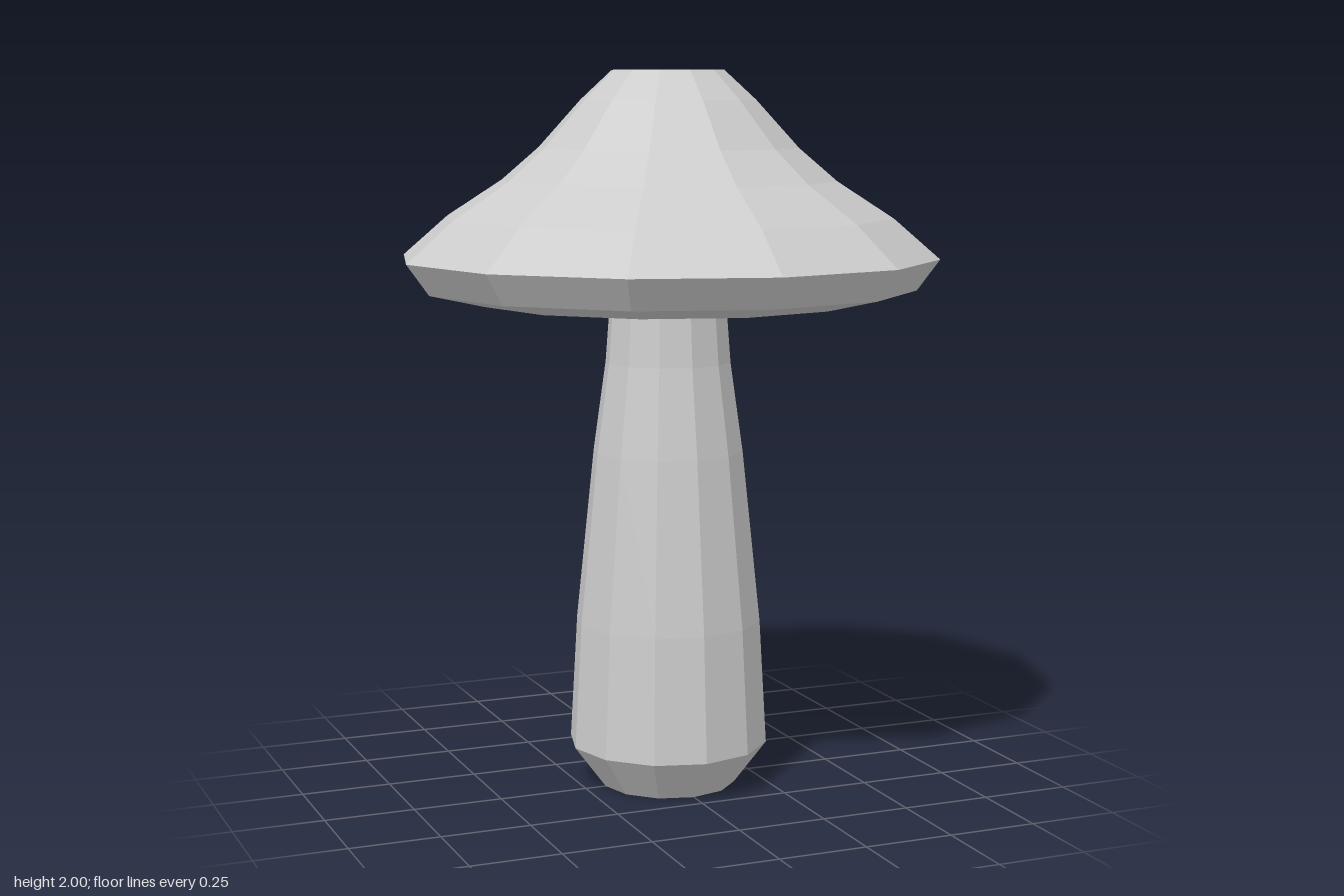
import * as THREE from 'three';

const SIDES = 12;
const material = new THREE.MeshStandardMaterial({ color: 0xcccccc, flatShading: true });

// Faceted solid of revolution from [radius, height] pairs, listed bottom to top along the outside
function facetedLathe(name, profile) {
  const points = profile.map(([r, y]) => new THREE.Vector2(r, y));
  const geometry = new THREE.LatheGeometry(points, SIDES).toNonIndexed();
  geometry.computeVertexNormals();
  const mesh = new THREE.Mesh(geometry, material);
  mesh.name = name;
  return mesh;
}

export function createModel() {
  const mushroom = new THREE.Group();
  mushroom.name = 'mushroom';

  // Stem: closed foot, bevelled base, gentle taper up into the cap
  mushroom.add(facetedLathe('stem', [
    [0, 0], [0.19, 0], [0.28, 0.12], [0.26, 0.47],
    [0.21, 0.95], [0.175, 1.2], [0.16, 1.4],
  ]));

  // Cap: shallow hollow underside, rolled rim, concave slope and flat top
  mushroom.add(facetedLathe('cap', [
    [0.16, 1.4], [0.53, 1.37], [0.685, 1.405], [0.747, 1.49], [0.62, 1.6],
    [0.465, 1.7], [0.36, 1.79], [0.242, 1.92], [0.155, 2], [0, 2],
  ]));

  return mushroom;
}
